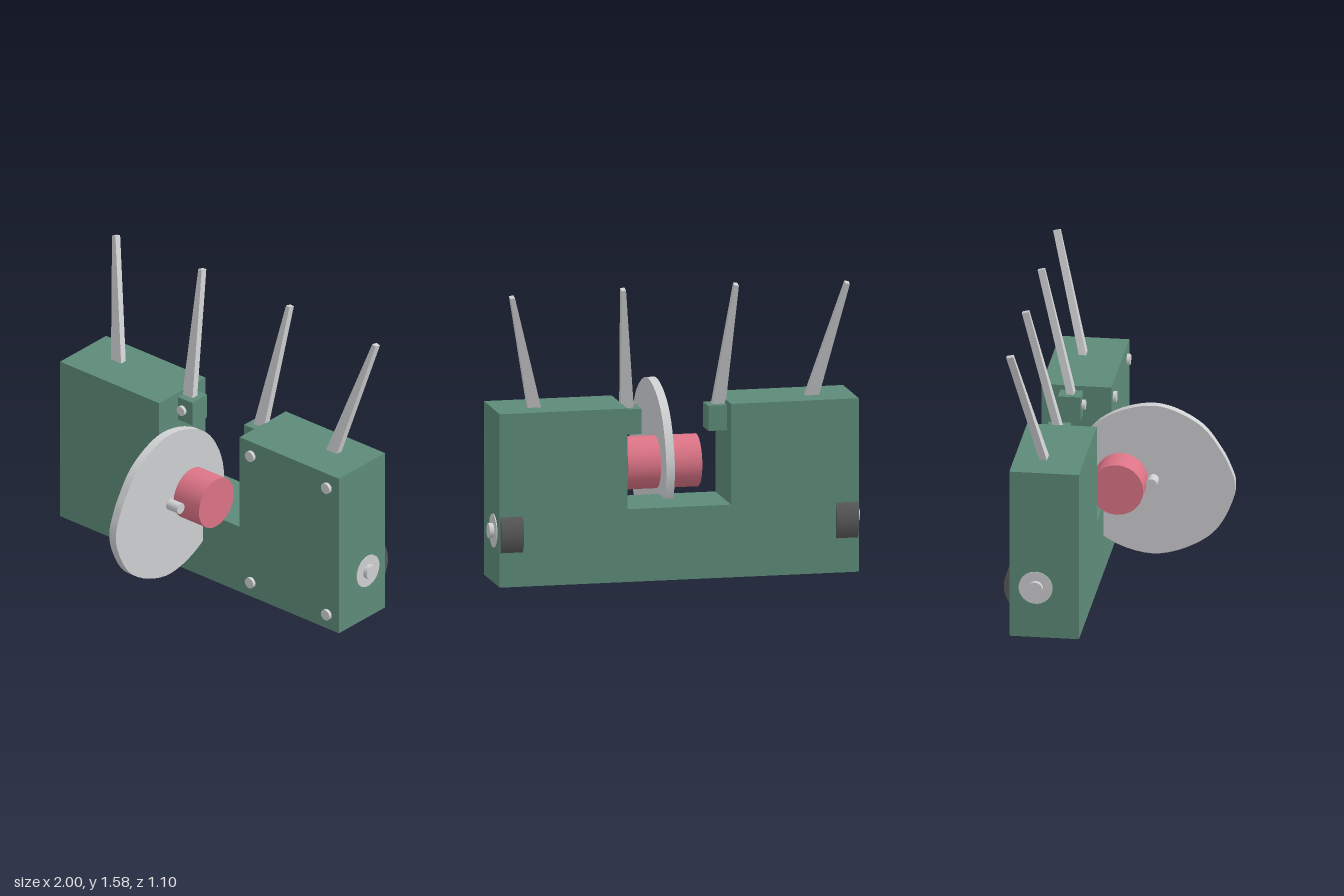
import * as THREE from 'three';
import { toCreasedNormals } from 'three/addons/utils/BufferGeometryUtils.js';

const material = (name, color) => {
  const m = new THREE.MeshStandardMaterial({ color });
  m.name = name;
  return m;
};

export function createModel() {
  const model = new THREE.Group();
  model.name = 'machine';
  const green = material('green', 0x5d8b78);
  const red = material('red', 0xdc7486);
  const grey = material('lightGrey', 0xcfd0d2);
  const dark = material('darkGrey', 0x59595b);

  const add = (name, geometry, mat, x = 0, y = 0, z = 0) => {
    const mesh = new THREE.Mesh(geometry, mat);
    mesh.name = name;
    mesh.position.set(x, y, z);
    model.add(mesh);
    return mesh;
  };
  const cylX = (r, length, sides = 40) => new THREE.CylinderGeometry(r, r, length, sides).rotateZ(Math.PI / 2);
  const cylZ = (r, length) => new THREE.CylinderGeometry(r, r, length, 16).rotateX(Math.PI / 2);

  // Tapered four-sided tine running from one point to another
  const tine = (name, from, to) => {
    const axis = to.clone().sub(from);
    const length = axis.length();
    const g = new THREE.BoxGeometry(1, length, 0.038);
    const p = g.attributes.position;
    for (let i = 0; i < p.count; i++) p.setX(i, p.getX(i) * (p.getY(i) > 0 ? 0.024 : 0.072));
    g.computeVertexNormals();
    const mid = from.clone().add(to).multiplyScalar(0.5);
    const mesh = add(name, g, grey, mid.x, mid.y, mid.z);
    mesh.quaternion.setFromUnitVectors(new THREE.Vector3(0, 1, 0), axis.normalize());
  };

  // Notched body
  const outline = [[-0.97, 0], [0.97, 0], [0.97, 0.93], [0.28, 0.93], [0.28, 0.39], [-0.28, 0.39], [-0.28, 0.93], [-0.97, 0.93]];
  const bodyShape = new THREE.Shape(outline.map(([x, y]) => new THREE.Vector2(x, y)));
  add('body', new THREE.ExtrudeGeometry(bodyShape, { depth: 0.37, bevelEnabled: false }), green, 0, 0, -0.52);

  // Cam disc: radius by angle, slightly flattened at the upper front
  const radii = [[0, 0.433], [13, 0.414], [26, 0.402], [53, 0.405], [90, 0.417], [135, 0.426],
    [180, 0.435], [225, 0.428], [270, 0.42], [315, 0.424], [345, 0.431]];
  const curve = new THREE.CatmullRomCurve3(radii.map(([a, r]) => {
    const t = THREE.MathUtils.degToRad(a);
    return new THREE.Vector3(Math.cos(t) * r, Math.sin(t) * r, 0);
  }), true);
  const camShape = new THREE.Shape(curve.getPoints(80).slice(0, -1).map(p => new THREE.Vector2(p.x, p.y)));
  const cam = new THREE.ExtrudeGeometry(camShape, { depth: 0.046, bevelEnabled: false });
  cam.translate(0, 0, -0.023).rotateY(-Math.PI / 2);
  add('camDisc', toCreasedNormals(cam, 0.6), grey, 0, 0.545, 0.115);

  // Drum and cam shaft
  add('drum', cylX(0.14, 0.4, 48), red, 0, 0.545, -0.055);
  add('camShaft', cylX(0.03, 0.2, 24), grey, 0, 0.545, 0.115);

  // Front screws on the left half of the body
  for (const x of [0.36, 0.89])
    for (const y of [0.087, 0.848]) add('screw', cylZ(0.03, 0.03), grey, x, y, -0.147);

  for (const s of [-1, 1]) {
    // Tine holder inside the notch
    add('tineHolder', new THREE.BoxGeometry(0.1, 0.135, 0.12), green, s * 0.23, 0.8375, -0.36);
    add('holderScrew', cylZ(0.027, 0.03), grey, s * 0.247, 0.838, -0.297);
    // Wheel, washer and axle end
    add('wheel', cylX(0.17, 0.12, 48), dark, s * 0.905, 0.28, -0.38);
    add('washer', cylX(0.09, 0.008), grey, s * 0.971, 0.28, -0.38);
    add('axle', cylX(0.04, 0.06, 24), grey, s * 0.97, 0.28, -0.38);
    // Inner and outer tines
    tine('innerTine', new THREE.Vector3(s * 0.246, 0.88, -0.353), new THREE.Vector3(s * 0.305, 1.572, -0.525));
    tine('outerTine', new THREE.Vector3(s * 0.743, 0.9, -0.357), new THREE.Vector3(s * 0.905, 1.556, -0.525));
  }
  return model;
}
